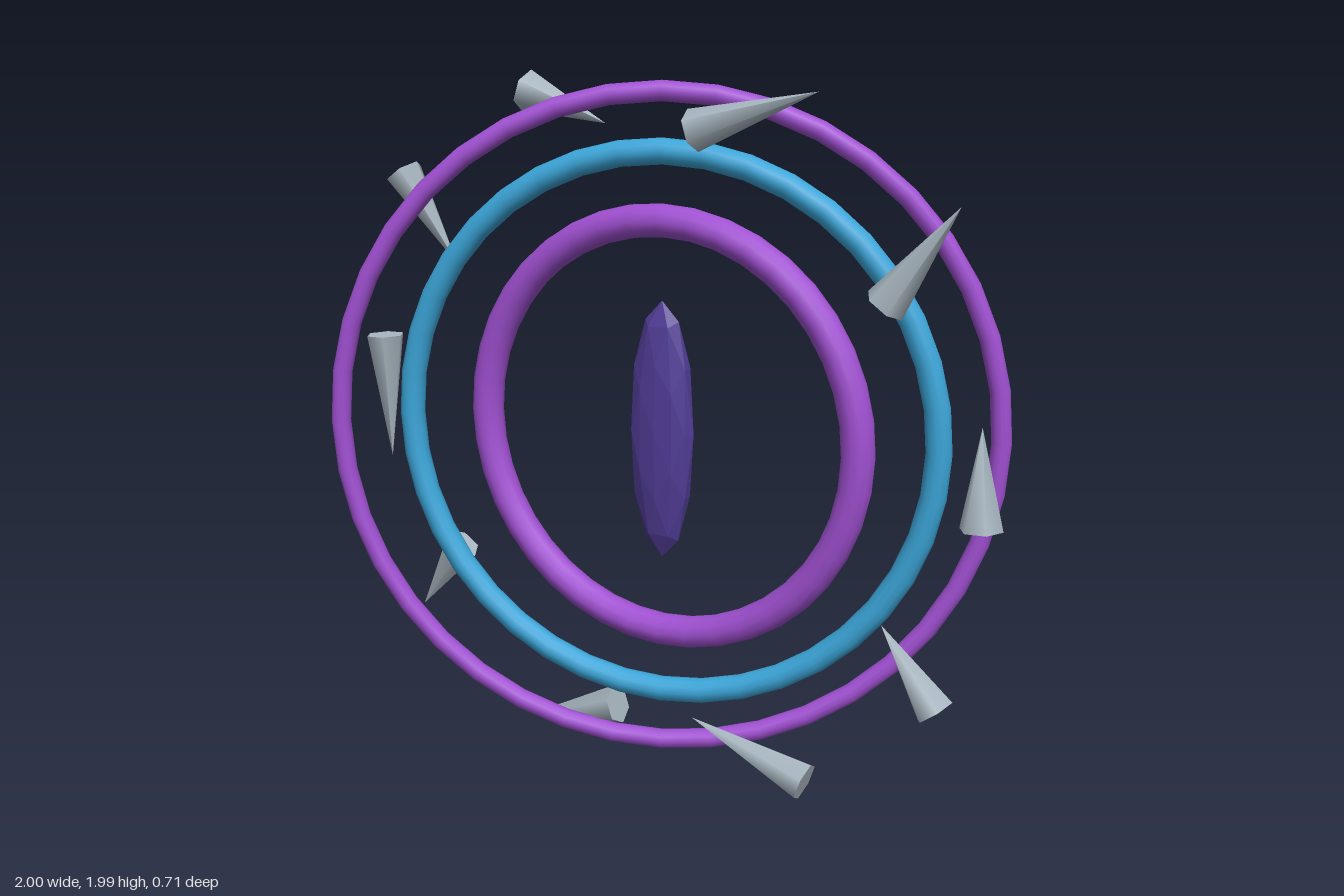
import * as THREE from 'three';

const material = (name, color, flatShading = false) => {
  const m = new THREE.MeshStandardMaterial({ color, flatShading });
  m.name = name;
  return m;
};

export function createModel() {
  const purple = material('violet', 0xa050d2);
  const blue = material('skyBlue', 0x3ba5d8);
  const indigo = material('indigo', 0x513c96, true);
  const stone = material('paleStone', 0xaab8c2);

  const CENTER_Y = 1.015;
  const group = new THREE.Group();
  group.name = 'portal';

  const add = (name, geometry, mat, x, y, z) => {
    const mesh = new THREE.Mesh(geometry, mat);
    mesh.name = name;
    mesh.position.set(x, y, z);
    group.add(mesh);
    return mesh;
  };

  // Three nested rings, each turned further about the vertical axis
  const rings = [
    ['innerRing', 0.59, 0.046, 0, purple],
    ['middleRing', 0.776, 0.036, 0.18, blue],
    ['outerRing', 0.935, 0.028, 0.36, purple],
  ];
  for (const [name, radius, tube, turn, mat] of rings) {
    const ring = add(name, new THREE.TorusGeometry(radius, tube, 12, 40), mat, 0, CENTER_Y, 0);
    ring.rotation.y = turn;
  }

  // Slit-shaped faceted core
  const core = new THREE.IcosahedronGeometry(1, 1);
  core.scale(0.1, 0.37, 0.05);
  add('core', core, indigo, 0, CENTER_Y, 0);

  // Six-sided shards circling the rings: base x, base y, tip x, tip y
  const shards = [
    [0.94, 0.877, 0.93, 1.144],
    [0.66, 1.43, 0.85, 1.69],
    [0.107, 1.85, 0.465, 1.957],
    [-0.415, 1.945, -0.16, 1.861],
    [-0.85, 1.7, -0.668, 1.444],
    [-0.945, 1.208, -0.936, 0.829],
    [-0.684, 0.583, -0.834, 0.364],
    [-0.134, 0.171, -0.438, 0.075],
    [0.47, 0.064, 0.112, 0.182],
    [0.84, 0.358, 0.68, 0.572],
  ];
  for (const [bx, by, tx, ty] of shards) {
    const height = Math.hypot(tx - bx, ty - by);
    const geometry = new THREE.ConeGeometry(0.058, height, 6, 1, false, Math.PI / 2);
    const shard = add('shard', geometry, stone, (bx + tx) / 2, (by + ty) / 2, 0.027);
    shard.rotation.z = Math.atan2(ty - by, tx - bx) - Math.PI / 2;
  }

  return group;
}
